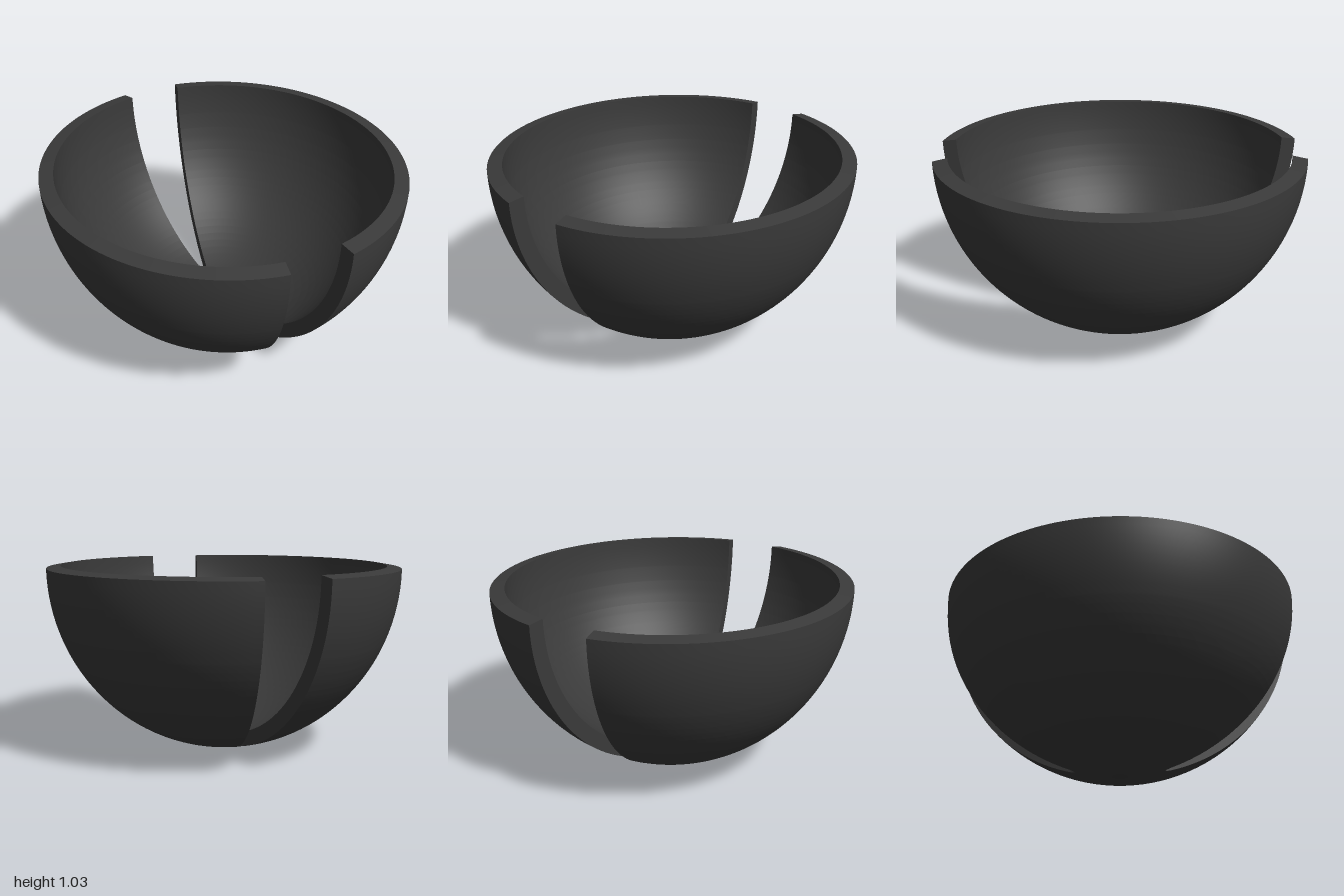
import * as THREE from 'three';
import { mergeGeometries, mergeVertices } from 'three/addons/utils/BufferGeometryUtils.js';

const HALF_X = 0.978, HALF_Z = 1.0145;   // outer rim half-axes
const RIM_OUT = 1.017, RIM_IN = 1.03;    // rim heights, sloping outward
const INNER = 0.92, FLOOR = 0.08;        // inner rim as a fraction of the outer, floor thickness
const SLOT = 0.246;                      // plan radius where the slots end
const SEGMENTS = 72;

// Heights over the plan radius s (0 at the centre, 1 at the rim)
const dome = (s) => 1 - Math.sqrt(Math.max(0, 1 - s * s));
const outerY = (s) => RIM_OUT * dome(s);
const innerY = (s) => FLOOR + (RIM_IN - FLOOR) * dome(s / INNER);
const topY = (s) => s <= INNER ? innerY(s)
  : RIM_IN + (RIM_OUT - RIM_IN) * (s - INNER) / (1 - INNER);

// Half angle of the wedge-shaped slot with a rounded tip
function slotAngle(s) {
  const d = HALF_Z * (s - SLOT);
  if (d <= 0) return 0;
  return Math.asin((0.2 * d + 0.015 * Math.sqrt(Math.min(1, d / 0.03))) / (HALF_X * s));
}

// Point on one half of the bowl; v runs from the front slot to the back slot
function point(half, s, v, y) {
  const a = slotAngle(s);
  const t = half * Math.PI + a + (Math.PI - 2 * a) * v;
  return [HALF_X * s * Math.sin(t), y, HALF_Z * s * Math.cos(t)];
}

// Quad grid from a rule; flip turns the faces round
function grid(rows, cols, rule, flip) {
  const pos = [], idx = [];
  for (let i = 0; i <= rows; i++)
    for (let j = 0; j <= cols; j++) pos.push(...rule(i, j / cols));
  for (let i = 0; i < rows; i++)
    for (let j = 0; j < cols; j++) {
      const a = i * (cols + 1) + j, b = a + cols + 1;
      if (flip) idx.push(a, b + 1, b, a, a + 1, b + 1);
      else idx.push(a, b, b + 1, a, b + 1, a + 1);
    }
  const g = new THREE.BufferGeometry();
  g.setAttribute('position', new THREE.Float32BufferAttribute(pos, 3));
  g.setIndex(idx);
  return g;
}

// Plan radii, denser toward the rims and the slot tips
function radii() {
  const list = [SLOT, 0.2463, 0.247, 0.2485, 0.251, 0.255, 0.26, 0.268, 0.276];
  for (let i = 0; i <= 32; i++) {
    const s = Math.sin(i / 32 * Math.PI / 2);
    list.push(s, s * INNER);
  }
  list.sort((a, b) => a - b);
  return list.filter((s, i) => i === 0 || s - list[i - 1] > 1e-5);
}

export function createModel() {
  const model = new THREE.Group();
  model.name = 'slottedBowl';
  const material = new THREE.MeshStandardMaterial({ color: 0x3a3a3a });
  const all = radii();
  const inside = all.filter((s) => s <= INNER + 1e-6);
  const slot = all.filter((s) => s >= SLOT);

  const add = (name, geometries) => {
    const g = mergeVertices(mergeGeometries(geometries), 1e-5);
    g.computeVertexNormals();
    const mesh = new THREE.Mesh(g, material);
    mesh.name = name;
    model.add(mesh);
  };
  const skin = (list, height, flip) => [0, 1].map((half) =>
    grid(list.length - 1, SEGMENTS, (i, v) => point(half, list[i], v, height(list[i])), flip));

  // Bowl surfaces
  add('outerShell', skin(all, outerY, true));
  add('innerShell', skin(inside, innerY, false));
  add('rim', skin([INNER, 1], topY, false));

  // Upright walls of the front and back slots
  const wall = (half, v) => grid(slot.length - 1, 1, (i, h) => {
    const s = slot[i];
    return point(half, s, v, outerY(s) + (topY(s) - outerY(s)) * h);
  }, v === 1);
  add('frontSlotWalls', [wall(0, 0), wall(1, 1)]);
  add('backSlotWalls', [wall(0, 1), wall(1, 0)]);

  return model;
}
